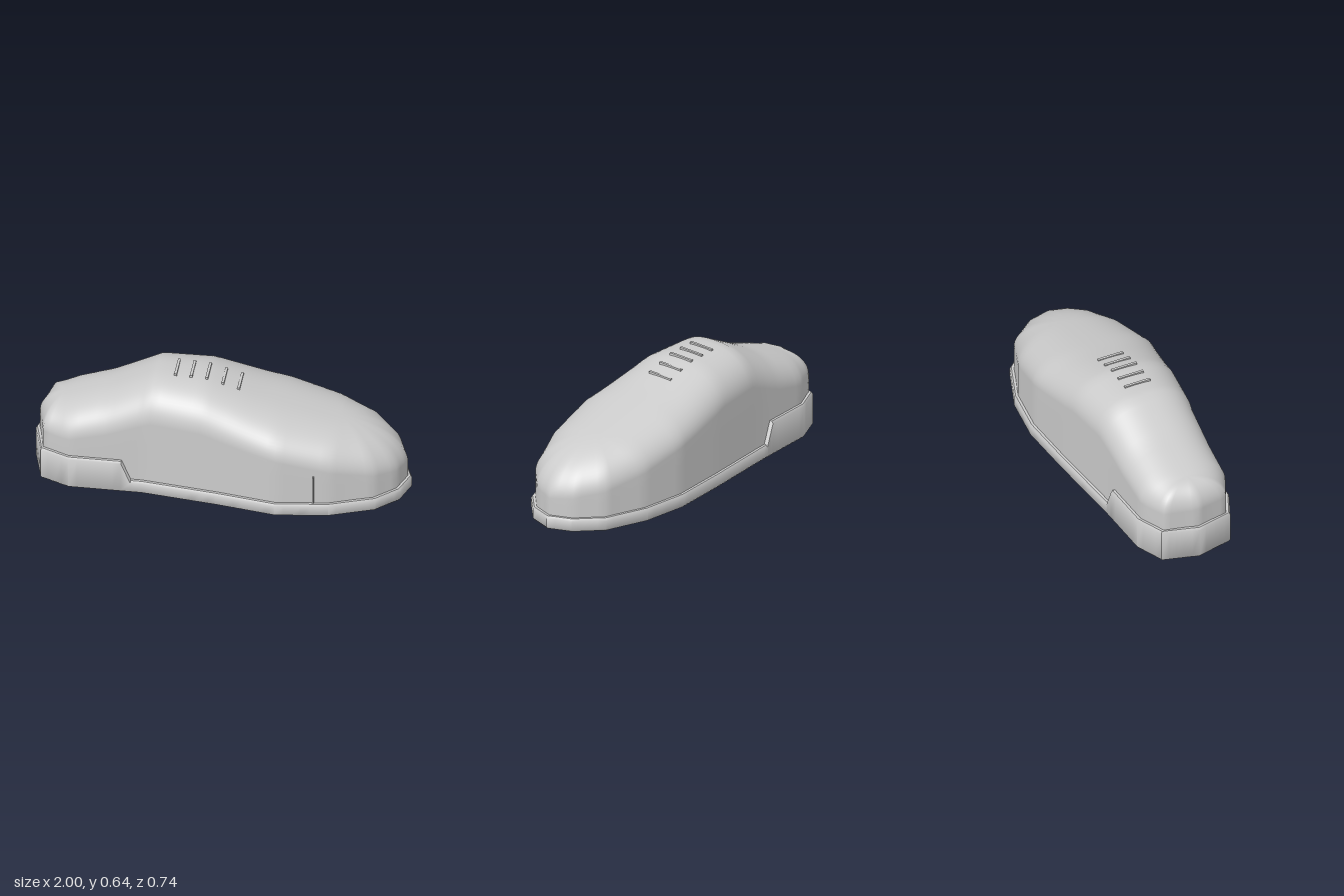
import * as THREE from 'three';
import { mergeVertices, toCreasedNormals } from 'three/addons/utils/BufferGeometryUtils.js';

// sole outline [x, z], heel -> outer side -> toe -> inner side
const OUTLINE = [
  [-1, 0], [-0.945, -0.2], [-0.79, -0.27], [-0.51, -0.29], [-0.46, -0.294], [-0.4, -0.3],
  [0, -0.345], [0.32, -0.373], [0.58, -0.345], [0.82, -0.26], [0.95, -0.13],
  [1, 0], [0.955, 0.13], [0.84, 0.24], [0.6, 0.33], [0.32, 0.366],
  [0, 0.315], [-0.4, 0.265], [-0.46, 0.265], [-0.51, 0.265], [-0.79, 0.265], [-0.945, 0.2],
];
// ridge height along x, and how far the shoulder falls from ridge to side wall
const RIDGE = [[-1, 0.405], [-0.85, 0.43], [-0.6, 0.515], [-0.35, 0.636], [-0.08, 0.625],
  [0.2, 0.54], [0.45, 0.475], [0.7, 0.41], [0.9, 0.36], [1, 0.33]];
const FALL = [[-1, 0.11], [-0.79, 0.16], [-0.35, 0.2], [0, 0.2], [0.32, 0.18], [1, 0.17]];
const SOLE_TOP = [[-0.51, 0.19], [-0.46, 0.072]];
const MIDLINE = [[-0.4, -0.01], [0.3, -0.005]];
const INSET = 0.022; // upper stands in from the sole edge

function sample(table, x) {
  if (x <= table[0][0]) return table[0][1];
  for (let i = 1; i < table.length; i++) {
    const [x0, y0] = table[i - 1], [x1, y1] = table[i];
    if (x <= x1) return y0 + ((y1 - y0) * (x - x0)) / (x1 - x0);
  }
  return table[table.length - 1][1];
}

// outline split into short steps
function densify(points, maxStep) {
  const out = [];
  points.forEach(([x, z], i) => {
    const [nx, nz] = points[(i + 1) % points.length];
    const n = Math.ceil(Math.hypot(nx - x, nz - z) / maxStep);
    for (let k = 0; k < n; k++) out.push([x + ((nx - x) * k) / n, z + ((nz - z) * k) / n]);
  });
  return out;
}

// nearest point on the spine that rings shrink towards
function spinePoint(x) {
  const sx = THREE.MathUtils.clamp(x, -0.84, 0.62);
  return [sx, sample(MIDLINE, sx)];
}

function inset([x, z], d) {
  const [sx, sz] = spinePoint(x);
  const k = d / Math.hypot(x - sx, z - sz);
  return [x + (sx - x) * k, z + (sz - z) * k];
}

function shrink([x, z], s) {
  const [sx, sz] = spinePoint(x);
  return [sx + (x - sx) * s, sz + (z - sz) * s];
}

// skin over closed rings listed from bottom to top
function loft(rings) {
  const n = rings[0].length, index = [];
  for (let j = 0; j < rings.length - 1; j++) {
    for (let i = 0; i < n; i++) {
      const a = j * n + i, b = j * n + ((i + 1) % n);
      index.push(a, a + n, b, b, a + n, b + n);
    }
  }
  const g = new THREE.BufferGeometry();
  g.setAttribute('position', new THREE.Float32BufferAttribute(rings.flat(2), 3));
  g.setIndex(index);
  const merged = mergeVertices(g, 1e-5);
  merged.computeVertexNormals();
  return merged;
}

export function createModel() {
  const group = new THREE.Group();
  const material = new THREE.MeshStandardMaterial({ color: 0xcccccc, side: THREE.DoubleSide });
  const add = (name, geometry, x = 0, y = 0, z = 0) => {
    const mesh = new THREE.Mesh(geometry, material);
    mesh.name = name;
    mesh.position.set(x, y, z);
    group.add(mesh);
    return mesh;
  };
  const outline = densify(OUTLINE, 0.05);

  // sole with raised heel wrap: [inset, height from 0 or from the top edge]
  const soleRing = (d, height) => outline.map((p) => {
    const [x, z] = inset(p, d);
    return [x, height(sample(SOLE_TOP, p[0])), z];
  });
  const soleRings = [
    outline.map((p) => { const [x, z] = shrink(p, 0); return [x, 0, z]; }),
    soleRing(0.008, () => 0),
    soleRing(0, () => 0.01),
    soleRing(0, (h) => h - 0.012),
    soleRing(0.008, (h) => h),
    soleRing(0.05, (h) => h),
  ];
  add('sole', toCreasedNormals(loft(soleRings), 0.7));

  // upper: straight side wall, then a rounded shoulder closing on the ridge
  const base = outline.map((p) => inset(p, INSET));
  const upperRings = [base.map(([x, z]) => [x, 0.04, z])];
  for (let k = 1; k <= 3; k++) {
    upperRings.push(base.map(([x, z]) => {
      const top = sample(RIDGE, x) - sample(FALL, x);
      return [x, 0.04 + ((top - 0.04) * k) / 3, z];
    }));
  }
  const steps = 18;
  for (let k = 1; k <= steps; k++) {
    const s = Math.cos((k / steps) * Math.PI / 2);
    const round = 1 - Math.sqrt(1 - Math.pow(s, 2.5));
    upperRings.push(base.map((p) => {
      const [x, z] = shrink(p, s);
      return [x, sample(RIDGE, x) - sample(FALL, p[0]) * round, z];
    }));
  }
  add('upper', loft(upperRings));

  // lace bars across the instep
  const laces = new THREE.Group();
  laces.name = 'laces';
  for (const x of [-0.25, -0.167, -0.084, 0.001, 0.085]) {
    const lace = add('lace', new THREE.BoxGeometry(0.014, 0.016, 0.146), x, sample(RIDGE, x) - 0.001, -0.017);
    lace.rotation.x = -0.03;
    laces.add(lace);
  }
  group.add(laces);

  // short vertical side seam
  add('sideSeam', new THREE.BoxGeometry(0.007, 0.17, 0.012), 0.52, 0.155, 0.322);

  return group;
}
